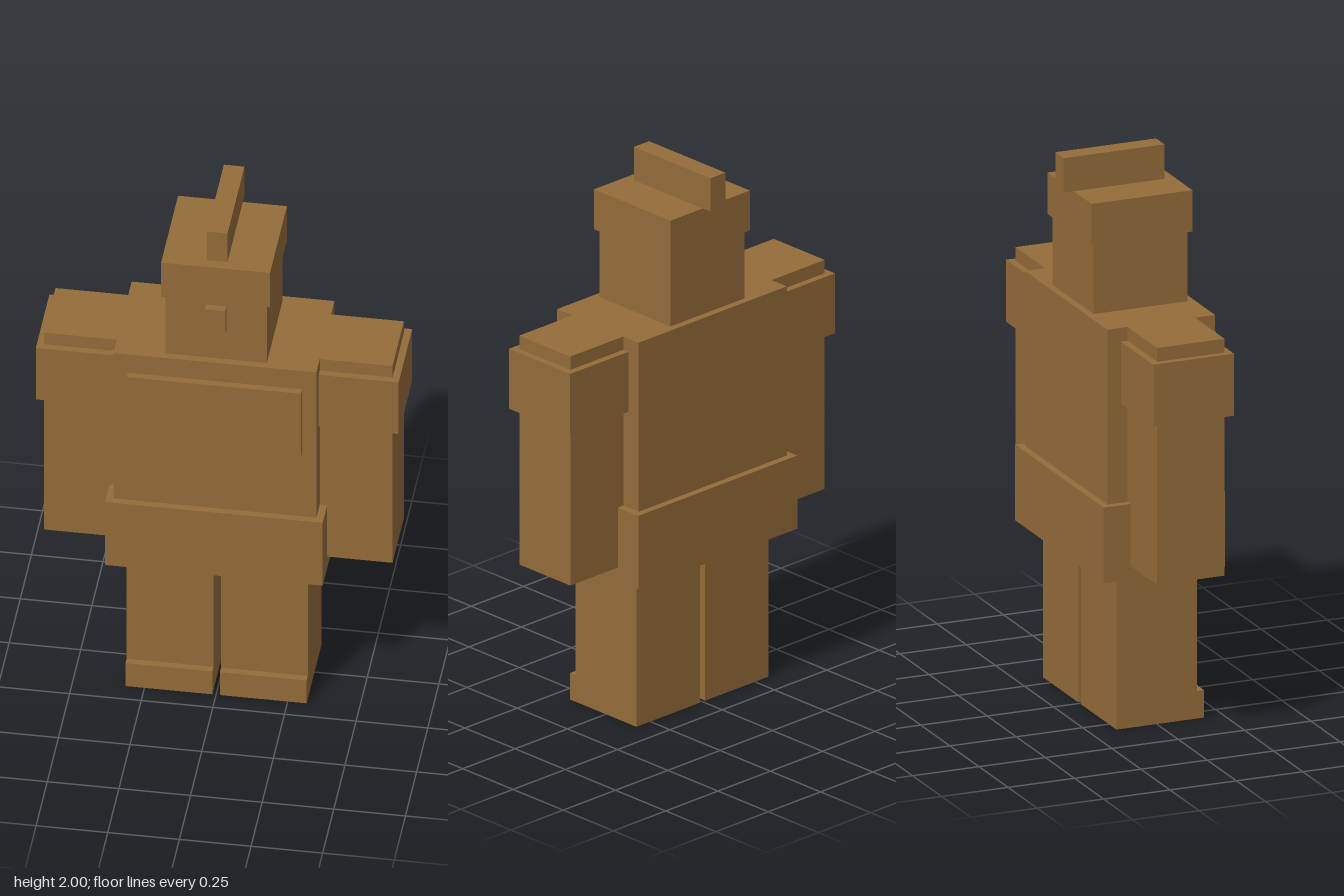
import * as THREE from 'three';

const brown = new THREE.MeshStandardMaterial({ color: 0x946c39 });
brown.name = 'brown';
const darkGreen = new THREE.MeshStandardMaterial({ color: 0x3a5a4c });
darkGreen.name = 'dark green';

// Overhanging clothing has a dark underside (the box group facing -y)
const darkUnder = [brown, brown, brown, darkGreen, brown, brown];

// Box given by its low and high limits on each axis
function block(name, [x0, x1], [y0, y1], [z0, z1], material = brown) {
  const mesh = new THREE.Mesh(new THREE.BoxGeometry(x1 - x0, y1 - y0, z1 - z0), material);
  mesh.position.set((x0 + x1) / 2, (y0 + y1) / 2, (z0 + z1) / 2);
  mesh.name = name;
  return mesh;
}

// Centred range
const both = (r) => [-r, r];

export function createModel() {
  const model = new THREE.Group();
  model.name = 'blockFigure';

  // Body and clothing
  model.add(
    block('torso', both(0.354), [0.6, 1.47], both(0.203)),
    block('belt', both(0.38), [0.56, 0.835], both(0.228), darkUnder),
    block('chestPlate', both(0.304), [1.115, 1.39], [0.203, 0.228]),
  );

  // Head with helmet and crest
  model.add(
    block('head', both(0.177), [1.47, 1.8], both(0.177)),
    block('nose', both(0.036), [1.6, 1.7], [0.177, 0.203]),
    block('helmet', both(0.19), [1.725, 1.875], both(0.19), darkUnder),
    block('crest', both(0.036), [1.875, 2], [-0.228, 0.152]),
  );

  // Limbs, mirrored left and right
  for (const [label, side] of [['left', 1], ['right', -1]]) {
    const span = (a, b) => (side > 0 ? [a, b] : [-b, -a]);
    model.add(
      block(label + 'Arm', span(0.354, 0.608), [0.61, 1.47], both(0.127)),
      block(label + 'ShoulderPad', span(0.354, 0.633), [1.195, 1.42], both(0.152), darkUnder),
      block(label + 'Leg', span(0.013, 0.316), [0, 0.57], both(0.152)),
      block(label + 'Toe', span(0.013, 0.316), [0, 0.1], [0.152, 0.178]),
    );
  }
  return model;
}
